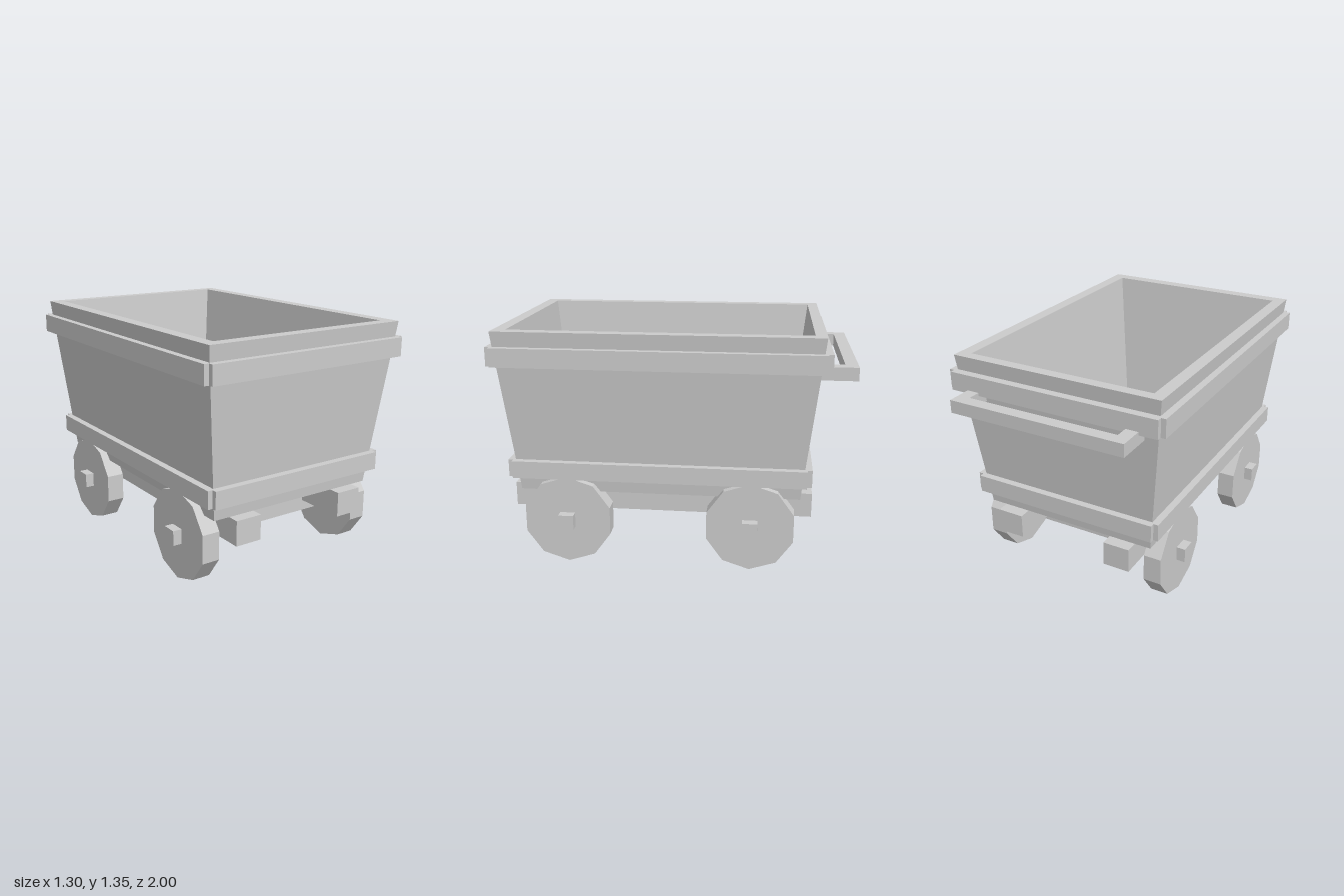
import * as THREE from 'three';

export function createModel() {
  const model = new THREE.Group();
  model.name = 'mineCart';
  const grey = new THREE.MeshStandardMaterial({ color: 0xcccccc, flatShading: true });
  grey.name = 'plain grey';

  const add = (name, geometry, parent = model) => {
    const mesh = new THREE.Mesh(geometry, grey);
    mesh.name = name;
    parent.add(mesh);
    return mesh;
  };
  // Box given by its extents on each axis
  const box = (name, [x0, x1], [y0, y1], [z0, z1], parent) =>
    add(name, new THREE.BoxGeometry(x1 - x0, y1 - y0, z1 - z0), parent)
      .position.set((x0 + x1) / 2, (y0 + y1) / 2, (z0 + z1) / 2);

  // Tub: rectangular sections running up the outside, over the rim and down to the floor
  const sections = [
    { y: 0.405, x: 0.52, z: [-0.72, 0.87] },
    { y: 1.335, x: 0.62, z: [-0.82, 0.97] },
    { y: 1.335, x: 0.55, z: [-0.76, 0.9] },
    { y: 0.46, x: 0.45, z: [-0.66, 0.795] },
  ];
  const rings = sections.map(({ y, x, z }) => [
    [-x, y, z[1]], [x, y, z[1]], [x, y, z[0]], [-x, y, z[0]],
  ]);
  const points = [];
  const quad = (a, b, c, d) => points.push(...a, ...b, ...c, ...a, ...c, ...d);
  for (let s = 0; s < rings.length - 1; s++) {
    for (let i = 0; i < 4; i++) {
      const j = (i + 1) % 4;
      quad(rings[s][i], rings[s][j], rings[s + 1][j], rings[s + 1][i]);
    }
  }
  quad(...rings[3]);
  quad(...[...rings[0]].reverse());
  const tub = new THREE.BufferGeometry();
  tub.setAttribute('position', new THREE.Float32BufferAttribute(points, 3));
  tub.computeVertexNormals();
  add('tub', tub);

  // Bands: side and end planks that leave a small notch at each corner
  const band = (name, y, x, z0, z1, depth) => {
    const group = new THREE.Group();
    group.name = name;
    model.add(group);
    const notch = 0.028;
    box('leftPlank', [x - depth, x], y, [z0 + notch, z1 - notch], group);
    box('rightPlank', [-x, depth - x], y, [z0 + notch, z1 - notch], group);
    box('frontPlank', [notch - x, x - notch], y, [z1 - depth, z1], group);
    box('backPlank', [notch - x, x - notch], y, [z0, z0 + depth], group);
  };
  band('upperBand', [1.145, 1.25], 0.65, -0.857, 1.0, 0.08);
  band('lowerBand', [0.49, 0.59], 0.58, -0.78, 0.93, 0.075);

  // Push handle at the back
  const handle = new THREE.Group();
  handle.name = 'handle';
  model.add(handle);
  box('handleBar', [-0.517, 0.517], [1.09, 1.163], [-1, -0.93], handle);
  box('leftHandleArm', [0.445, 0.517], [1.09, 1.163], [-0.93, -0.77], handle);
  box('rightHandleArm', [-0.517, -0.445], [1.09, 1.163], [-0.93, -0.77], handle);

  // Chassis rails under the tub
  box('leftRail', [0.27, 0.425], [0.265, 0.405], [-0.79, 0.935]);
  box('rightRail', [-0.425, -0.27], [0.265, 0.405], [-0.79, 0.935]);

  // Axles and ten-sided wheels, resting on a flat side
  const wheel = new THREE.CylinderGeometry(0.257, 0.257, 0.103, 10).rotateZ(Math.PI / 2);
  wheel.rotateX(Math.PI / 2);
  for (const [end, z] of [['front', 0.595], ['back', -0.445]]) {
    box(end + 'Axle', [-0.62, 0.62], [0.204, 0.288], [z - 0.043, z + 0.043]);
    for (const [side, x] of [['Left', 0.517], ['Right', -0.517]]) {
      add(end + side + 'Wheel', wheel).position.set(x, 0.2445, z);
    }
  }
  return model;
}
